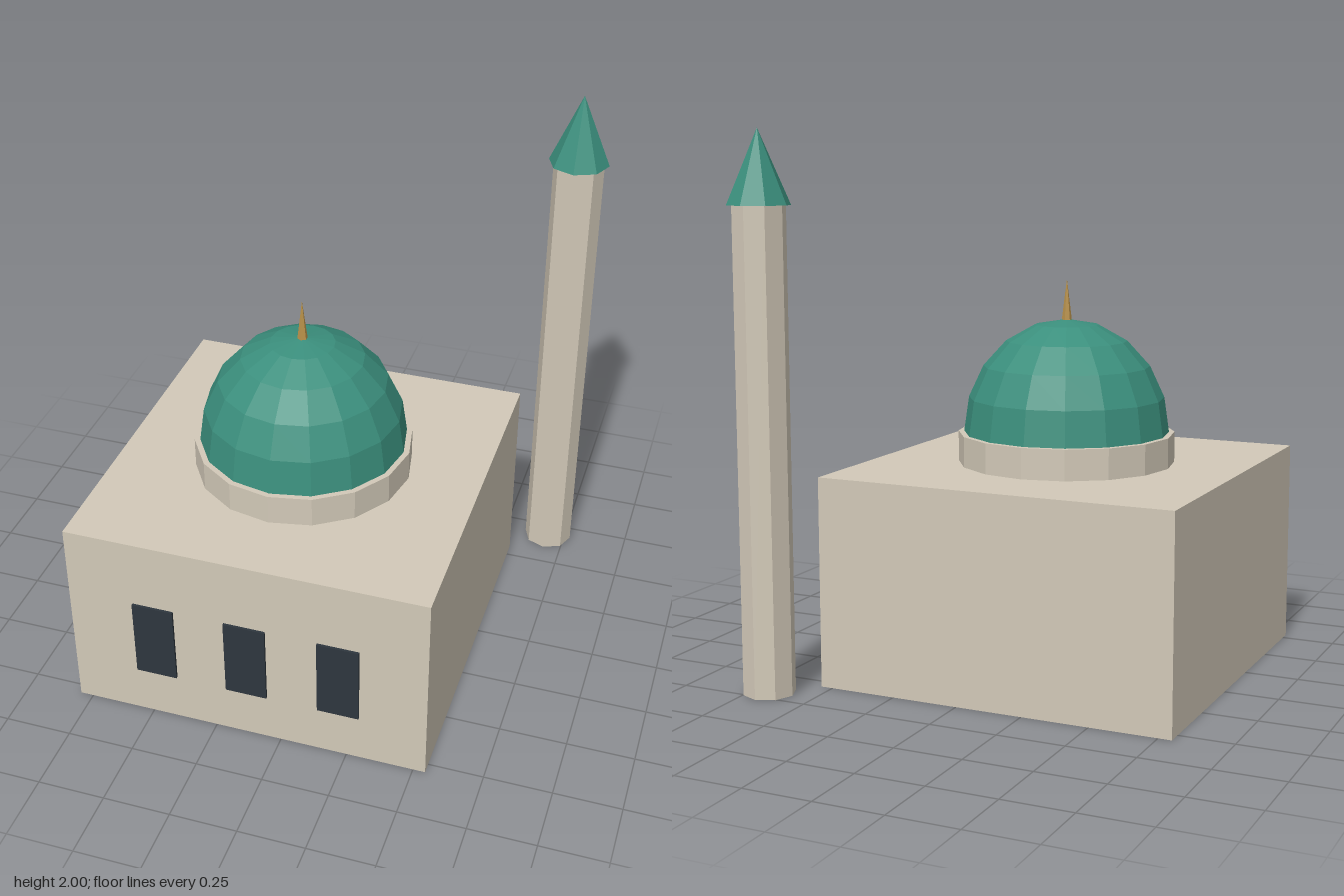
import * as THREE from 'three';

function material(name, color) {
  const m = new THREE.MeshStandardMaterial({ color, flatShading: true });
  m.name = name;
  return m;
}

export function createModel() {
  const group = new THREE.Group();
  const stone = material('stone', 0xd2c9b8);
  const green = material('green tile', 0x3b8f7d);
  const glass = material('dark glass', 0x2e363e);
  const gold = material('gold', 0xb8914a);

  const add = (name, geometry, mat, x, y, z) => {
    const mesh = new THREE.Mesh(geometry, mat);
    mesh.name = name;
    mesh.position.set(x, y, z);
    group.add(mesh);
    return mesh;
  };

  // Main hall
  const cx = -0.127, cz = 0.118, size = 1.345, hallTop = 0.772;
  add('hall', new THREE.BoxGeometry(size, hallTop, size), stone, cx, hallTop / 2, cz);

  // Three windows on the front wall
  const wallZ = cz + size / 2;
  for (const i of [-1, 0, 1]) {
    add('window', new THREE.BoxGeometry(0.155, 0.31, 0.0096), glass, cx + i * 0.347, 0.35, wallZ + 0.0047);
  }

  // Drum, faceted dome and finial
  const drumTop = 0.885;
  add('drum', new THREE.CylinderGeometry(0.404, 0.404, drumTop - hallTop, 16), stone, cx, (drumTop + hallTop) / 2, cz);
  const dome = new THREE.SphereGeometry(0.383, 16, 5, 0, Math.PI * 2, 0, Math.PI / 2);
  dome.scale(1, 1.1, 1);
  add('dome', dome, green, cx, drumTop, cz);
  add('finial', new THREE.ConeGeometry(0.019, 0.155, 6), gold, cx, 1.378, cz);

  // Tower behind the corner with a pointed roof
  const tx = 0.68, tz = -0.688, towerTop = 1.737;
  add('tower', new THREE.CylinderGeometry(0.095, 0.095, towerTop, 8), stone, tx, towerTop / 2, tz);
  add('towerRoof', new THREE.ConeGeometry(0.113, 2 - towerTop, 8), green, tx, (2 + towerTop) / 2, tz);

  return group;
}
